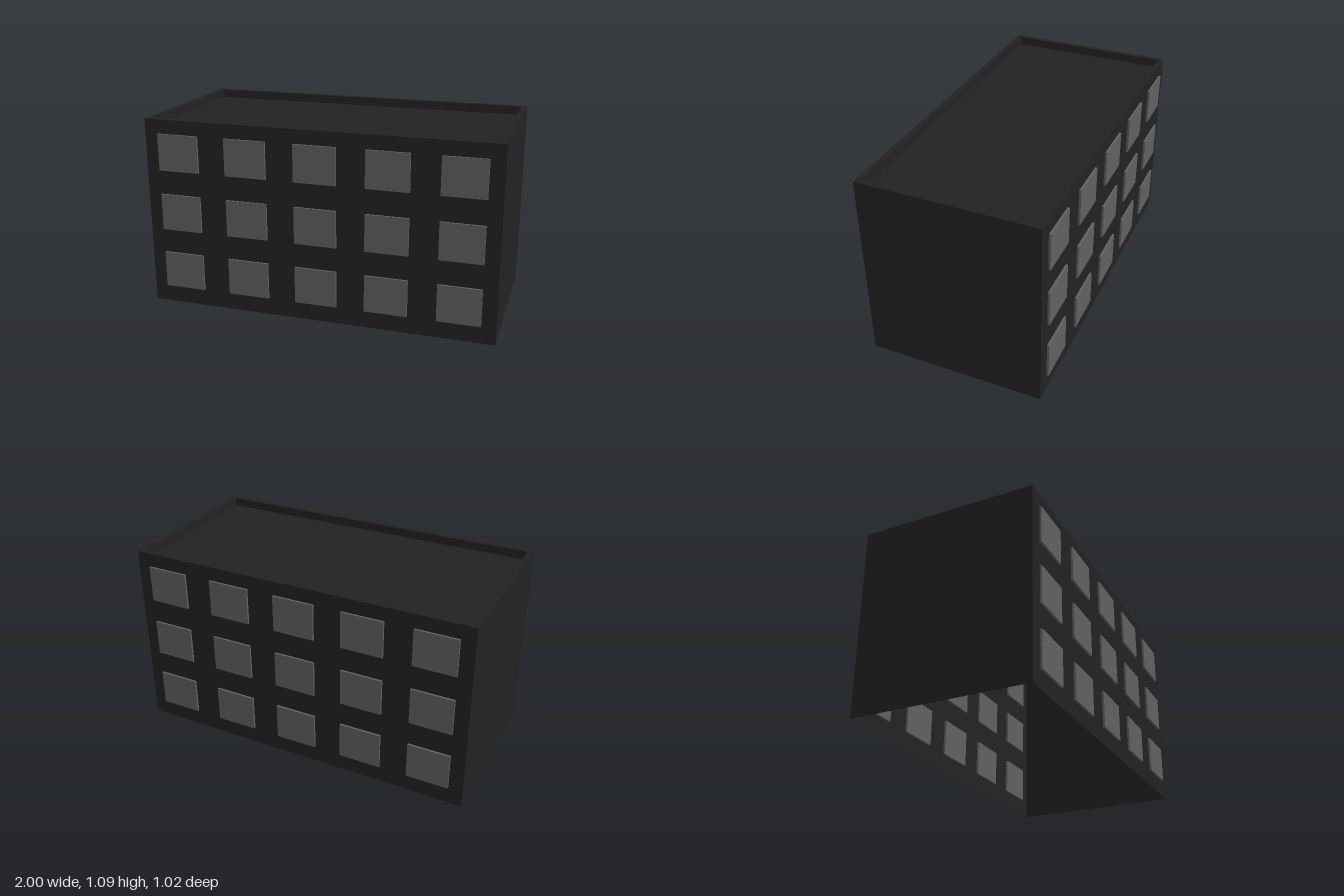
import * as THREE from 'three';

const W = 2, D = 1, H = 1.09;      // outer size
const RIM = 0.03, ROOF_Y = 1.04;   // parapet thickness and roof level

export function createModel() {
  const model = new THREE.Group();
  model.name = 'building';

  const wallPaint = new THREE.MeshStandardMaterial({ color: 0x222222, side: THREE.DoubleSide });
  wallPaint.name = 'dark wall';
  const glass = new THREE.MeshStandardMaterial({ color: 0x606060 });
  glass.name = 'grey glass';

  const add = (name, geometry, material, x, y, z, rx = 0, ry = 0) => {
    const mesh = new THREE.Mesh(geometry, material);
    mesh.name = name;
    mesh.position.set(x, y, z);
    mesh.rotation.set(rx, ry, 0);
    model.add(mesh);
    return mesh;
  };

  // Thin outer walls, open underneath, and the inner faces of the parapet
  const ix = W / 2 - RIM, iz = D / 2 - RIM, lip = H - ROOF_Y;
  for (const s of [1, -1]) {
    const faceZ = s > 0 ? 0 : Math.PI;
    add(s > 0 ? 'frontWall' : 'backWall', new THREE.PlaneGeometry(W, H), wallPaint, 0, H / 2, s * D / 2, 0, faceZ);
    add(s > 0 ? 'leftWall' : 'rightWall', new THREE.PlaneGeometry(D, H), wallPaint, s * W / 2, H / 2, 0, 0, s * Math.PI / 2);
    add('parapetInnerLong', new THREE.PlaneGeometry(2 * ix, lip), wallPaint, 0, ROOF_Y + lip / 2, s * iz, 0, Math.PI - faceZ);
    add('parapetInnerShort', new THREE.PlaneGeometry(2 * iz, lip), wallPaint, s * ix, ROOF_Y + lip / 2, 0, 0, -s * Math.PI / 2);
  }

  // Flat parapet top as a rectangular ring
  const rectangle = (path, x, z) => path.moveTo(-x, -z).lineTo(x, -z).lineTo(x, z).lineTo(-x, z).closePath();
  const ring = rectangle(new THREE.Shape(), W / 2, D / 2);
  ring.holes.push(rectangle(new THREE.Path(), ix, iz));
  add('parapetTop', new THREE.ShapeGeometry(ring), wallPaint, 0, H, 0, -Math.PI / 2);

  // Sunken roof
  add('roof', new THREE.PlaneGeometry(2 * ix, 2 * iz), wallPaint, 0, ROOF_Y, 0, -Math.PI / 2);

  // Three rows of five windows, set through the front and back walls
  const pane = new THREE.BoxGeometry(0.24, 0.21, 0.024);
  for (const s of [1, -1])
    for (let row = 0; row < 3; row++)
      for (let col = -2; col <= 2; col++)
        add(s > 0 ? 'frontWindow' : 'backWindow', pane, glass, col * 0.4, 0.205 + row * 0.35, s * D / 2);

  return model;
}

// Path methods return the path itself, so rectangles can be chained
